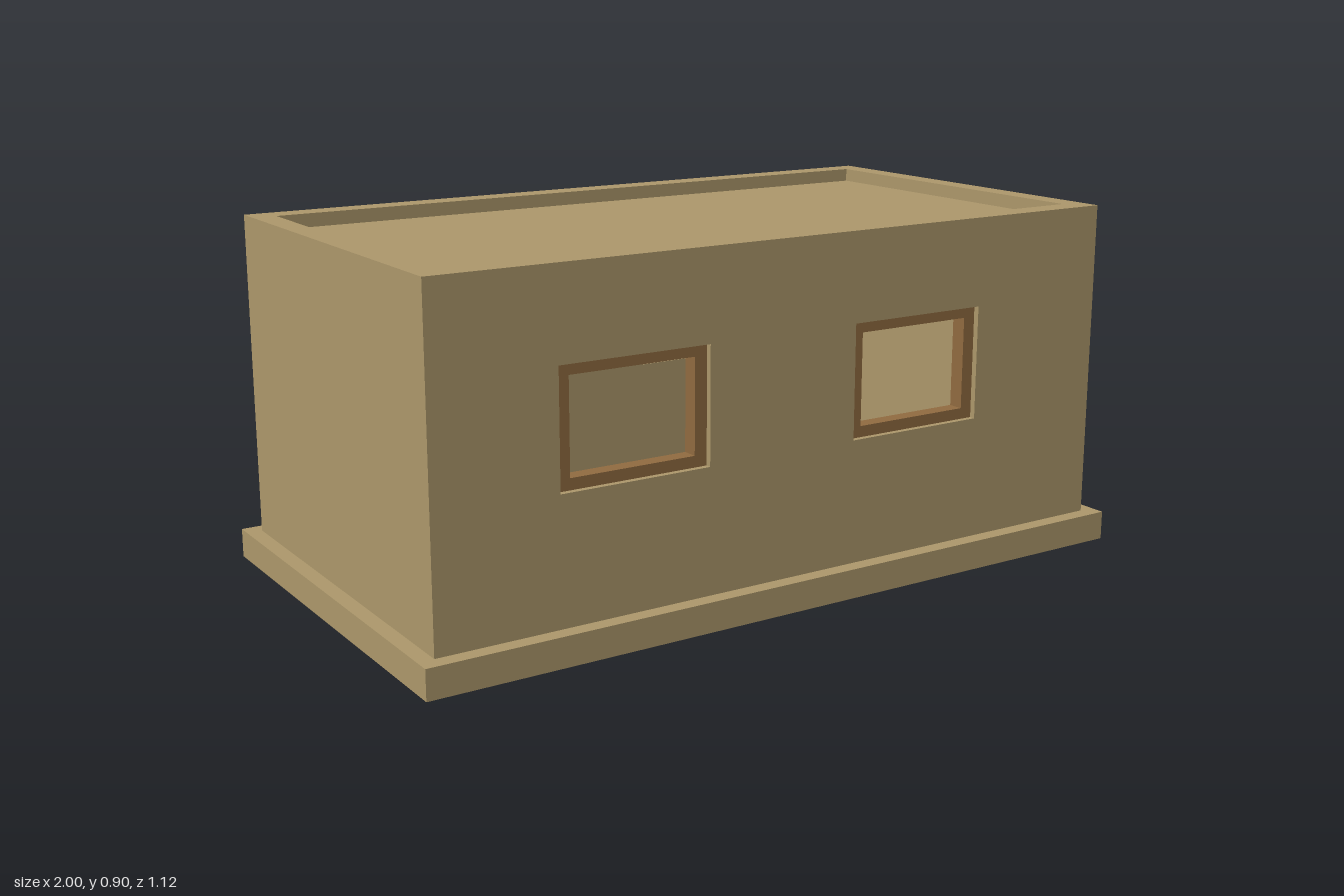
import * as THREE from 'three';

const wallMat = new THREE.MeshStandardMaterial({ color: 0xab966a });
wallMat.name = 'sandy plaster';
const frameMat = new THREE.MeshStandardMaterial({ color: 0x8f6a3f });
frameMat.name = 'brown wood';

// Half extents of the wall shell, its thickness and heights
const W = 0.96, D = 0.52, TX = 0.06, TZ = 0.065, H = 0.905;
const PLINTH = 0.04, PLINTH_H = 0.075;

// Openings as [x0, x1, y0, y1]
const windowLeft = [0.17, 0.56, 0.39, 0.68];
const windowRight = [-0.645, -0.25, 0.39, 0.68];
const door = [-0.735, -0.305, 0, 0.68];

function add(parent, name, geometry, material) {
  const mesh = new THREE.Mesh(geometry, material);
  mesh.name = name;
  parent.add(mesh);
  return mesh;
}

// Box given by its minimum and maximum corners
function block(parent, name, [x0, y0, z0], [x1, y1, z1]) {
  const mesh = add(parent, name, new THREE.BoxGeometry(x1 - x0, y1 - y0, z1 - z0), wallMat);
  mesh.position.set((x0 + x1) / 2, (y0 + y1) / 2, (z0 + z1) / 2);
}

function polygon(points, Type = THREE.Shape) {
  return new Type(points.map(([x, y]) => new THREE.Vector2(x, y)));
}

function rect([x0, x1, y0, y1], Type) {
  return polygon([[x0, y0], [x1, y0], [x1, y1], [x0, y1]], Type);
}

function extrude(parent, name, shape, z, depth, material) {
  const geometry = new THREE.ExtrudeGeometry(shape, { depth, bevelEnabled: false });
  add(parent, name, geometry, material).position.z = z;
}

// Rectangular window surround
function windowFrame(parent, name, [x0, x1, y0, y1], z) {
  const t = 0.033;
  const shape = rect([x0, x1, y0, y1]);
  shape.holes.push(rect([x0 + t, x1 - t, y0 + t * 0.85, y1 - t * 0.85], THREE.Path));
  extrude(parent, name, shape, z, 0.04, frameMat);
}

export function createModel() {
  const house = new THREE.Group();
  house.name = 'house';

  // Front wall with two windows
  const front = rect([-W, W, 0, H]);
  front.holes.push(rect(windowLeft, THREE.Path), rect(windowRight, THREE.Path));
  extrude(house, 'frontWall', front, D - TZ, TZ, wallMat);

  // Back wall with one window and a doorway cut up from the ground
  const [d0, d1, , dTop] = door;
  const back = polygon([[-W, 0], [d0, 0], [d0, dTop], [d1, dTop], [d1, 0], [W, 0], [W, H], [-W, H]]);
  back.holes.push(rect(windowLeft, THREE.Path));
  extrude(house, 'backWall', back, -D, TZ, wallMat);

  // Side walls and the plinth along them
  for (const [side, s] of [['left', 1], ['right', -1]]) {
    const span = (a, b) => [Math.min(s * a, s * b), Math.max(s * a, s * b)];
    const [a, b] = span(W - TX, W);
    block(house, side + 'Wall', [a, 0, -D + TZ], [b, H, D - TZ]);
    const [p, q] = span(W, W + PLINTH);
    block(house, side + 'Plinth', [p, 0, -D], [q, PLINTH_H, D]);
  }

  // Front plinth, and back plinth broken at the doorway
  const X = W + PLINTH, Z = D + PLINTH;
  block(house, 'frontPlinth', [-X, 0, D], [X, PLINTH_H, Z]);
  block(house, 'backPlinthRight', [-X, 0, -Z], [d0, PLINTH_H, -D]);
  block(house, 'backPlinthLeft', [d1, 0, -Z], [X, PLINTH_H, -D]);

  // Flat roof sunk below the parapet
  block(house, 'roofSlab', [-W + TX, 0.84, -D + TZ], [W - TX, 0.87, D - TZ]);

  // Window frames, set slightly back in their openings
  const recess = 0.015;
  windowFrame(house, 'frontLeftWindowFrame', windowLeft, D - recess - 0.04);
  windowFrame(house, 'frontRightWindowFrame', windowRight, D - recess - 0.04);
  windowFrame(house, 'backWindowFrame', windowLeft, -D + recess);

  // Door frame: two jambs and a head, open at the ground
  const t = 0.045;
  const jambs = polygon([
    [d0, 0], [d0 + t, 0], [d0 + t, dTop - t], [d1 - t, dTop - t],
    [d1 - t, 0], [d1, 0], [d1, dTop], [d0, dTop],
  ]);
  extrude(house, 'doorFrame', jambs, -D + recess, 0.04, frameMat);

  return house;
}
